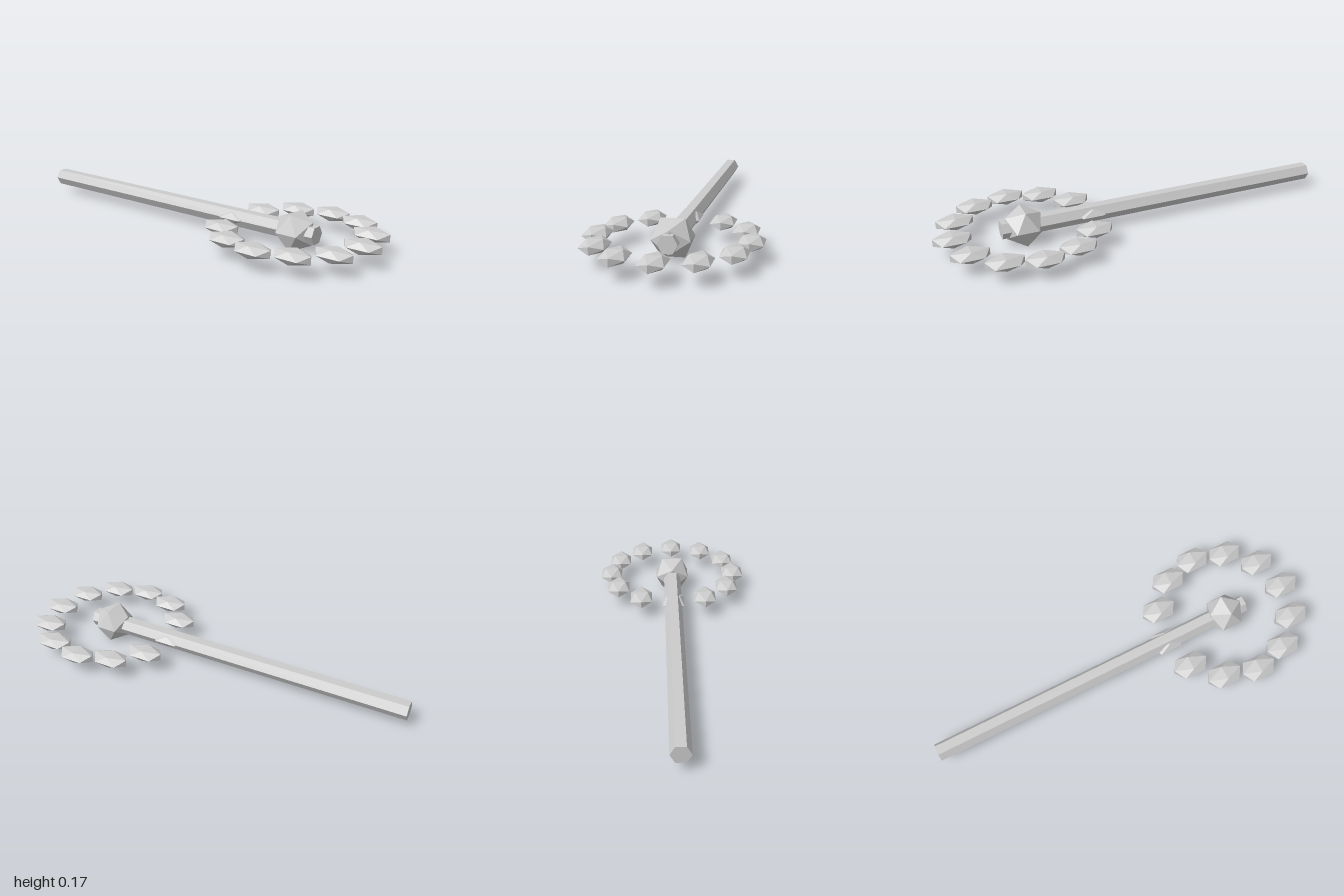
import * as THREE from 'three';

export function createModel() {
  const model = new THREE.Group();
  const grey = new THREE.MeshStandardMaterial({ color: 0xcccccc, flatShading: true });
  grey.name = 'light grey';

  const y = 0.086, headZ = 0.575;
  const add = (name, geometry, x, z, parent = model) => {
    const mesh = new THREE.Mesh(geometry, grey);
    mesh.name = name;
    mesh.position.set(x, y, z);
    parent.add(mesh);
  };

  // Six-sided stem lying along z, with corners pointing sideways
  const stemBack = -1, stemFront = 0.685;
  const stem = new THREE.CylinderGeometry(0.045, 0.045, stemFront - stemBack, 6);
  stem.rotateY(Math.PI / 6).rotateX(Math.PI / 2);
  add('stem', stem, 0, (stemBack + stemFront) / 2);

  // Faceted flower centre
  add('flowerCentre', new THREE.IcosahedronGeometry(0.101, 0), 0, headZ);

  // Ring of twelve flattened petals, all facing the same way
  const petals = new THREE.Group();
  petals.name = 'petals';
  model.add(petals);
  const petal = new THREE.IcosahedronGeometry(0.1, 0).scale(0.66, 0.335, 1.04);
  for (let i = 0; i < 12; i++) {
    const a = (i / 12) * Math.PI * 2;
    add(`petal${i + 1}`, petal, 0.336 * Math.sin(a), headZ + 0.336 * Math.cos(a), petals);
  }
  return model;
}
